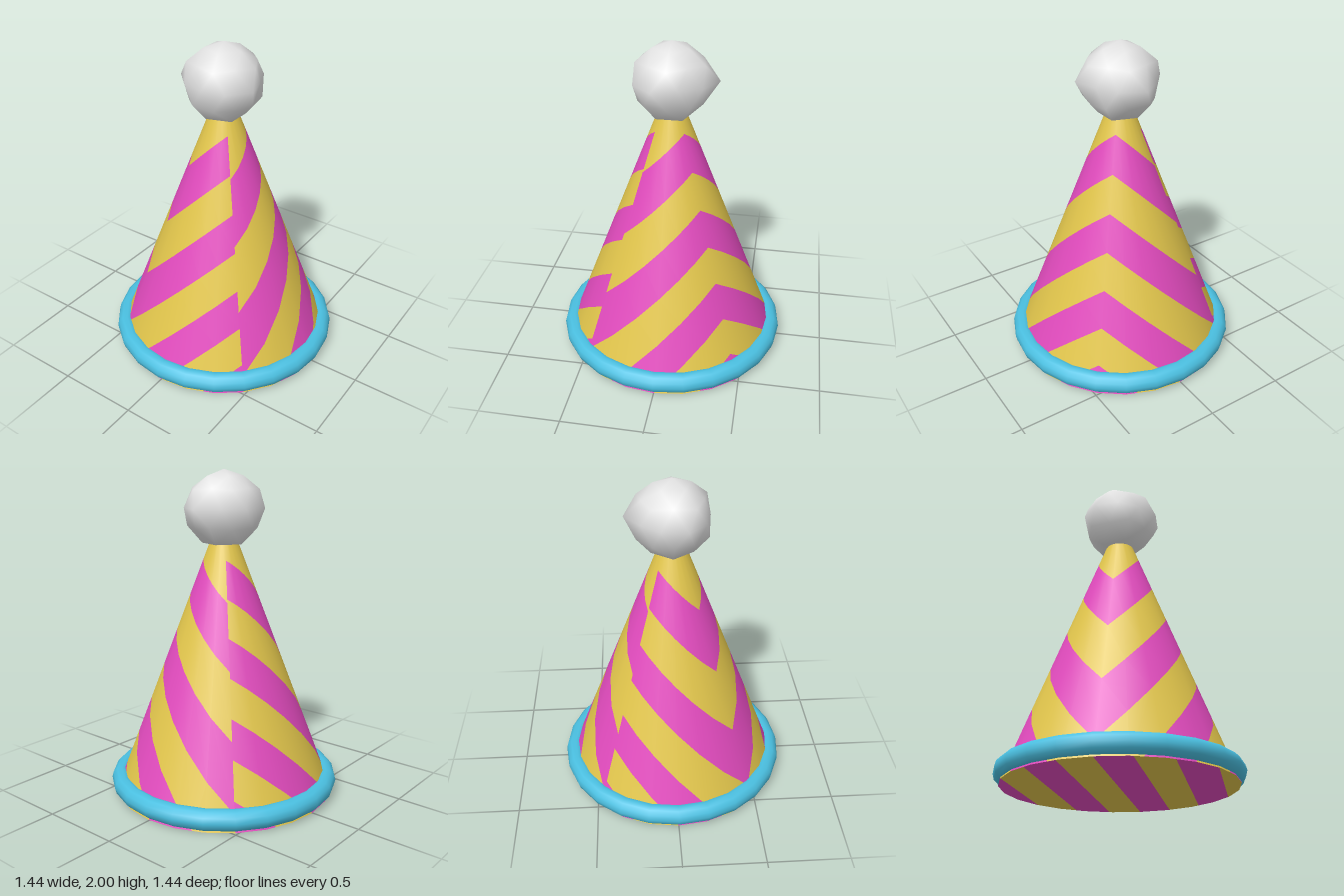
import * as THREE from 'three';
import { mergeVertices } from 'three/addons/utils/BufferGeometryUtils.js';

const mat = (name, color, side = THREE.FrontSide) => {
  const m = new THREE.MeshStandardMaterial({ color, side });
  m.name = name;
  return m;
};

const SIDES = 24, STRIPE = 0.277, TOP = 1.6, R0 = 0.685, SLOPE = 0.382;

// Keep the part of a polygon where g(p) >= 0
function clip(poly, g) {
  const out = [];
  poly.forEach((a, i) => {
    const b = poly[(i + 1) % poly.length], ga = g(a), gb = g(b);
    if (ga >= 0) out.push(a);
    if ((ga >= 0) !== (gb >= 0)) out.push(a.clone().lerp(b, ga / (ga - gb)));
  });
  return out;
}

// Cut a polygon into stripes along f and hand the pieces to two lists
function addStriped(poly, f, normal, lists) {
  for (let k = -9; k < 9; k++) {
    let piece = clip(poly, p => f(p) - k * STRIPE);
    if (piece.length > 2) piece = clip(piece, p => (k + 1) * STRIPE - f(p));
    const list = lists[Math.abs(k) % 2];
    for (let i = 1; i < piece.length - 1; i++) {
      for (const p of [piece[0], piece[i], piece[i + 1]]) {
        list.pos.push(p.x, p.y, p.z);
        list.nor.push(...normal(p).toArray());
      }
    }
  }
}

function listMesh(list, material, name) {
  const g = new THREE.BufferGeometry();
  g.setAttribute('position', new THREE.Float32BufferAttribute(list.pos, 3));
  g.setAttribute('normal', new THREE.Float32BufferAttribute(list.nor, 3));
  const m = new THREE.Mesh(g, material);
  m.name = name;
  return m;
}

// Striped cone with a closed base
function makeCone(yellow, pink) {
  const lists = [{ pos: [], nor: [] }, { pos: [], nor: [] }];
  const at = (i, y) => {
    const a = i / SIDES * Math.PI * 2, r = R0 - SLOPE * y;
    return new THREE.Vector3(r * Math.sin(a), y, r * Math.cos(a));
  };
  const outward = p => {
    const r = Math.hypot(p.x, p.z);
    return new THREE.Vector3(p.x / r, SLOPE, p.z / r).normalize();
  };
  const base = [];
  for (let i = 0; i < SIDES; i++) {
    const a = (i + 0.5) / SIDES * Math.PI * 2;
    // Stripes run straight across each of the four quarters
    const f = Math.abs(Math.cos(a)) > Math.abs(Math.sin(a)) ? p => p.x - p.y : p => -p.z - p.y;
    addStriped([at(i, 0), at(i + 1, 0), at(i + 1, TOP), at(i, TOP)], f, outward, lists);
    base.unshift(at(i, 0));
  }
  addStriped(base, p => -p.x - p.z, () => new THREE.Vector3(0, -1, 0), lists);
  const cone = new THREE.Group();
  cone.name = 'cone';
  cone.add(listMesh(lists[0], yellow, 'yellowStripes'), listMesh(lists[1], pink, 'pinkStripes'));
  return cone;
}

// Lumpy ball: a pole-up icosphere with uneven radii
function makePompom(material) {
  let g = new THREE.IcosahedronGeometry(1, 1);
  g.deleteAttribute('normal');
  g.deleteAttribute('uv');
  g.rotateZ(-Math.atan(2 / (1 + Math.sqrt(5))));
  g = mergeVertices(g, 1e-3);
  const equator = [0.215, 0.245, 0.28, 0.225, 0.24, 0.26, 0.235, 0.22, 0.25, 0.265];
  const p = g.attributes.position, v = new THREE.Vector3();
  for (let i = 0; i < p.count; i++) {
    v.fromBufferAttribute(p, i).normalize();
    const turn = (Math.atan2(-v.z, v.x) / (Math.PI * 2) + 1) % 1;
    const wobble = 0.012 * Math.sin(turn * 31 + v.y * 5);
    let r = 0.228 + wobble;
    if (Math.abs(v.y) < 0.1) r = equator[Math.round(turn * 10 - 0.5) % 10];
    else if (Math.abs(v.y) > 0.95) r = 0.223;
    else if (v.y < -0.7) r = 0.252;
    else if (v.y < 0) r = 0.24 + wobble;
    v.multiplyScalar(r);
    p.setXYZ(i, v.x, v.y, v.z);
  }
  g.computeVertexNormals();
  const m = new THREE.Mesh(g, material);
  m.name = 'pompom';
  m.position.y = 1.777;
  return m;
}

export function createModel() {
  const yellow = mat('yellow', 0xe2c64c);
  const pink = mat('pink', 0xe24bbe);
  const blue = mat('blue', 0x4abfe0);
  const white = mat('white', 0xe2e2e2);

  const hat = new THREE.Group();
  hat.name = 'partyHat';
  hat.add(makeCone(yellow, pink), makePompom(white));

  // Rolled rim around the foot of the cone
  const rim = new THREE.Mesh(new THREE.TorusGeometry(0.656, 0.064, 12, SIDES), blue);
  rim.name = 'rim';
  rim.rotation.x = Math.PI / 2;
  rim.position.y = 0.068;
  hat.add(rim);
  return hat;
}
